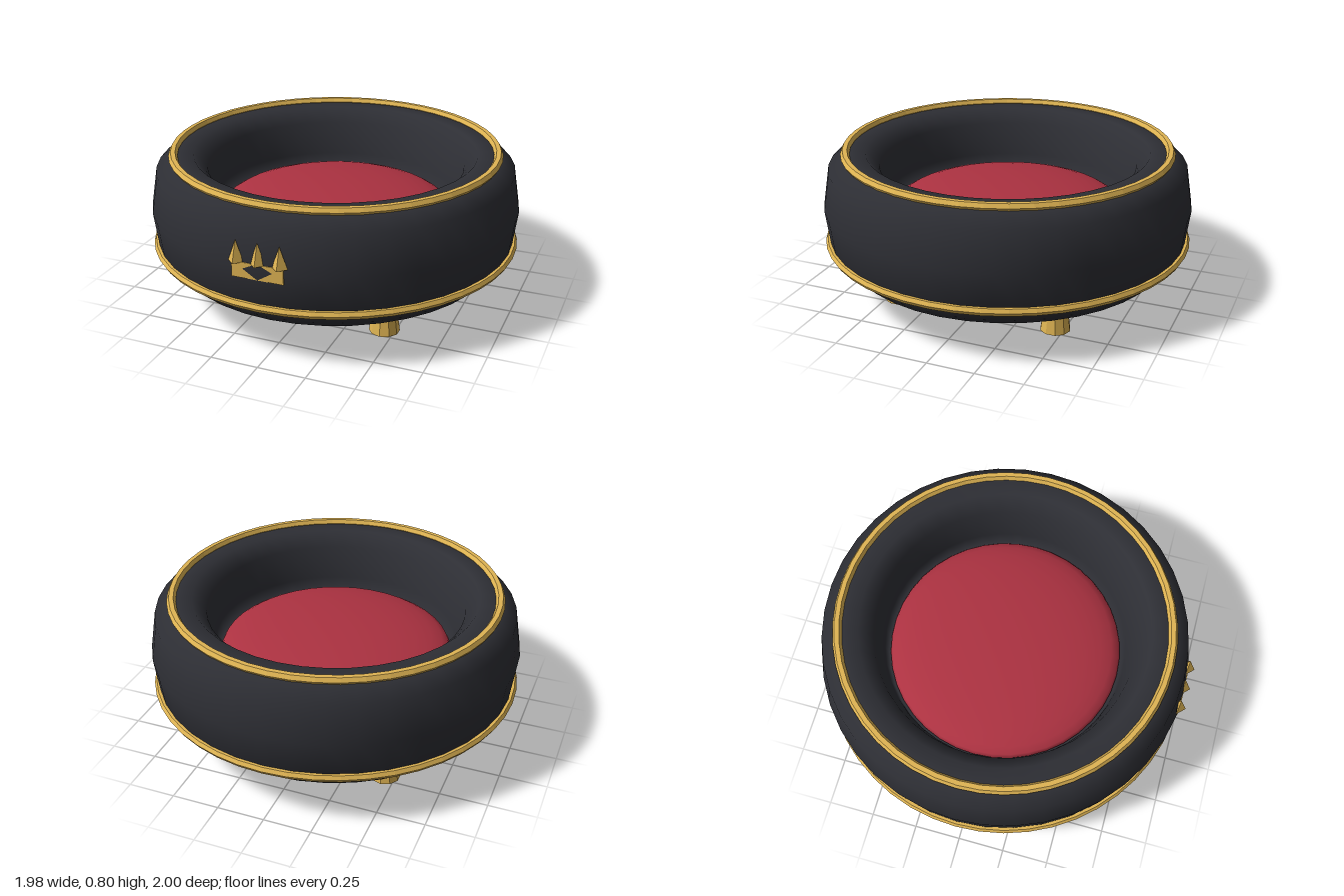
import * as THREE from 'three';

const SEG = 40;

export function createModel() {
  const model = new THREE.Group();
  model.name = 'petBed';

  const charcoal = new THREE.MeshStandardMaterial({ color: 0x2e2f35 });
  charcoal.name = 'charcoal fabric';
  const gold = new THREE.MeshStandardMaterial({ color: 0xdfb453 });
  gold.name = 'gold trim';
  gold.flatShading = true;
  const red = new THREE.MeshStandardMaterial({ color: 0xac3241 });
  red.name = 'red cushion';

  // The round bed sits slightly back so the crown ornament reaches the front limit
  const bed = new THREE.Group();
  bed.name = 'bed';
  bed.position.z = -0.012;
  model.add(bed);

  const add = (name, geometry, material, x = 0, y = 0, z = 0, parent = bed) => {
    const mesh = new THREE.Mesh(geometry, material);
    mesh.name = name;
    mesh.position.set(x, y, z);
    parent.add(mesh);
    return mesh;
  };

  // Padded wall: underside, bulging outside, broad rim, steep inside and floor
  const profile = [
    [0, 0.187], [0.87, 0.187], [0.96, 0.285], [0.987, 0.5],
    [0.953, 0.705], [0.868, 0.776], [0.755, 0.776], [0.685, 0.7],
    [0.645, 0.52], [0.63, 0.42], [0, 0.42],
  ].map(([r, y]) => new THREE.Vector2(r, y));
  add('paddedWall', new THREE.LatheGeometry(profile, SEG), charcoal);

  // Domed cushion
  const cushion = new THREE.SphereGeometry(0.622, SEG, 16);
  cushion.scale(1, 0.19, 1);
  add('cushion', cushion, red, 0, 0.447, 0);

  // Six-sided piping around the rim and the base
  for (const [name, radius, tube, y] of [['rimPiping', 0.862, 0.024, 0.78], ['basePiping', 0.967, 0.022, 0.3]]) {
    const ring = new THREE.TorusGeometry(radius, tube, 6, 48);
    ring.rotateX(Math.PI / 2);
    add(name, ring, gold, 0, y, 0);
  }

  // Four tapered legs
  for (const x of [-0.445, 0.445]) {
    for (const z of [-0.443, 0.443]) {
      add('leg', new THREE.CylinderGeometry(0.052, 0.079, 0.2, 10), gold, x, 0.1, z);
    }
  }

  // Crown ornament: a band half sunk into the wall, with three spikes
  const crown = new THREE.Group();
  crown.name = 'crownOrnament';
  model.add(crown);
  add('crownBand', new THREE.BoxGeometry(0.265, 0.08, 0.04), gold, 0, 0.492, 0.949, crown);
  for (const x of [-0.112, 0, 0.112]) {
    add('crownSpike', new THREE.ConeGeometry(0.04, 0.11, 4), gold, x, 0.585, 0.959, crown);
  }

  return model;
}
